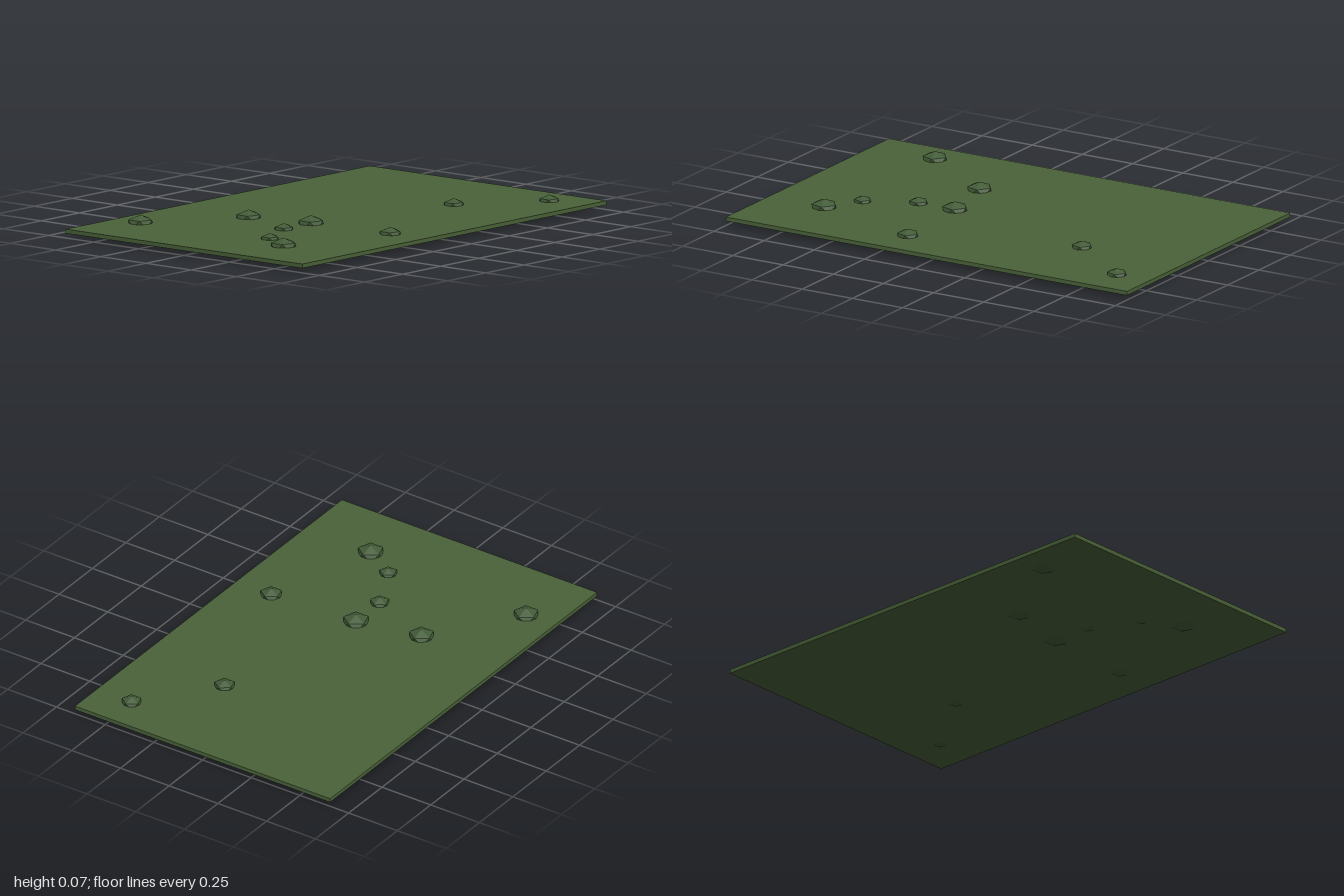
import * as THREE from 'three';

export function createModel() {
  const group = new THREE.Group();
  const grass = new THREE.MeshStandardMaterial({ color: 0x4a6339, flatShading: true });
  const tuft = new THREE.MeshStandardMaterial({ color: 0x435c38, flatShading: true });
  const bottom = 0.02, top = 0.038;

  // Thin ground slab
  const ground = new THREE.Mesh(new THREE.BoxGeometry(2, top - bottom, 1.31), grass);
  ground.name = 'ground';
  ground.position.y = (top + bottom) / 2;
  group.add(ground);

  // Flattened icosahedron standing on a corner, half sunk into the slab
  const clumpGeometry = new THREE.IcosahedronGeometry(1, 0);
  clumpGeometry.rotateZ(-Math.atan(2 / (1 + Math.sqrt(5))));
  clumpGeometry.scale(1, 0.6, 1);

  // x, z, radius of each clump
  const clumps = [
    [-0.68, -0.51, 0.06], [-0.29, -0.24, 0.06], [-0.23, 0.055, 0.062],
    [-0.41, 0.057, 0.046], [-0.625, 0.16, 0.043], [-0.72, 0.315, 0.062],
    [-0.205, 0.473, 0.052], [0.508, 0.224, 0.049], [0.838, 0.475, 0.048],
  ];
  clumps.forEach(([x, z, r], i) => {
    const clump = new THREE.Mesh(clumpGeometry, tuft);
    clump.name = `grassClump${i + 1}`;
    clump.position.set(x, 0.0372, z);
    clump.scale.setScalar(r);
    group.add(clump);
  });

  return group;
}
